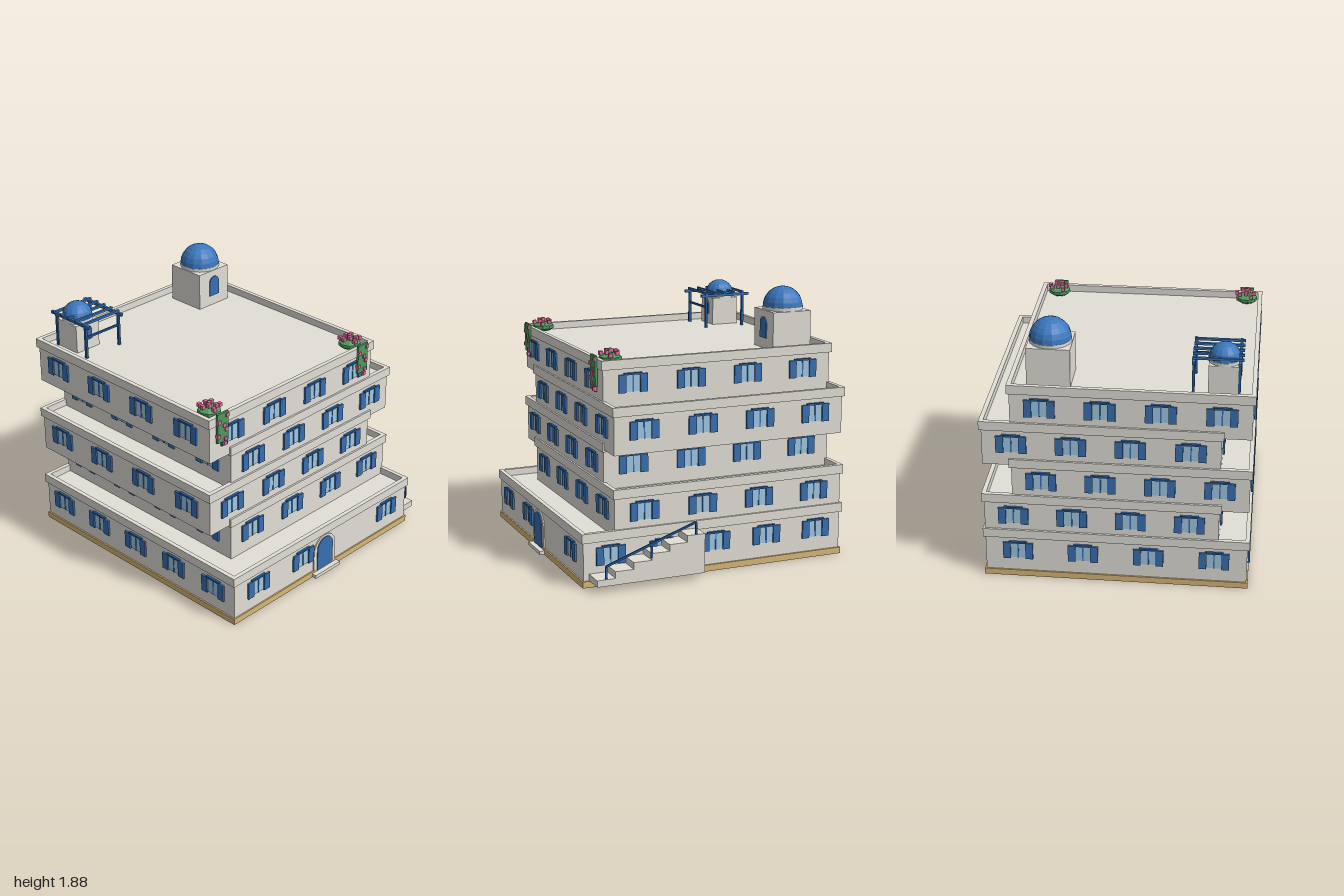
import * as THREE from 'three';

const mat = (name, color, extra = {}) => Object.assign(new THREE.MeshStandardMaterial({ color, ...extra }), { name });

export function createModel() {
  const root = new THREE.Group();
  root.name = 'terracedBuilding';
  const wall = mat('whitewash', 0xe2dfd7);
  const sand = mat('sand', 0xd8b878);
  const blue = mat('shutterBlue', 0x3870b2);
  const domeBlue = mat('domeBlue', 0x3a78be, { flatShading: true });
  const trim = mat('trimBlue', 0x265a98);
  const glass = mat('glass', 0xa2c8e2);
  const leaf = mat('leafGreen', 0x4f9a5e, { flatShading: true });
  const pink = mat('blossomPink', 0xe2719c);

  const add = (parent, name, geo, material, x = 0, y = 0, z = 0) => {
    const m = new THREE.Mesh(geo, material);
    m.name = name;
    m.position.set(x, y, z);
    parent.add(m);
    return m;
  };
  const group = (parent, name, x = 0, y = 0, z = 0) => {
    const g = new THREE.Group();
    g.name = name;
    g.position.set(x, y, z);
    parent.add(g);
    return g;
  };
  // Box given by its minimum and maximum corners
  const span = (parent, name, material, x0, x1, y0, y1, z0, z1) =>
    add(parent, name, new THREE.BoxGeometry(x1 - x0, y1 - y0, z1 - z0), material,
      (x0 + x1) / 2, (y0 + y1) / 2, (z0 + z1) / 2);
  // Upright panel with a round top, standing on y = 0
  const arch = (w, h, depth) => {
    const s = new THREE.Shape(), r = w / 2;
    s.moveTo(-r, 0);
    s.lineTo(r, 0);
    s.lineTo(r, h - r);
    s.absarc(0, h - r, r, 0, Math.PI, false);
    s.lineTo(-r, 0);
    return new THREE.ExtrudeGeometry(s, { depth, bevelEnabled: false, curveSegments: 10 });
  };

  // Window with open shutters, facing +z
  const shutterGeo = new THREE.BoxGeometry(0.053, 0.125, 0.014);
  const paneGeo = new THREE.BoxGeometry(0.11, 0.122, 0.008);
  const barGeo = new THREE.BoxGeometry(0.009, 0.122, 0.012);
  const lintelGeo = new THREE.BoxGeometry(0.128, 0.014, 0.018);
  const addWindow = (x, y, z, yaw) => {
    const g = group(root, 'window', x, y, z);
    g.rotation.y = yaw;
    add(g, 'pane', paneGeo, glass, 0, 0, 0.003);
    add(g, 'mullion', barGeo, blue, 0, 0, 0.005);
    add(g, 'lintel', lintelGeo, trim, 0, 0.062, 0.008);
    for (const s of [-1, 1]) add(g, 'shutter', shutterGeo, blue, s * 0.078, -0.003, 0.011);
  };

  // Storeys, alternately shifted left and right, each with a parapet
  span(root, 'basePlinth', sand, -0.99, 0.845, 0, 0.045, -0.99, 0.965);
  const back = -0.98;
  const floors = [
    [-0.98, 0.832, 0.955, 5], [-0.78, 0.832, 0.73, 4], [-0.98, 0.635, 0.73, 4],
    [-0.78, 0.832, 0.73, 4], [-0.98, 0.635, 0.73, 4],
  ];
  const rect = (path, x0, x1, z0, z1) => {
    path.moveTo(x0, -z1);
    path.lineTo(x1, -z1);
    path.lineTo(x1, -z0);
    path.lineTo(x0, -z0);
    path.closePath();
    return path;
  };
  floors.forEach(([x0, x1, front, sideCount], i) => {
    const y0 = 0.045 + i * 0.279, y1 = y0 + 0.279;
    span(root, 'storey', wall, x0, x1, y0, y1, back, front);
    const ring = rect(new THREE.Shape(), x0 - 0.015, x1 + 0.015, back - 0.015, front + 0.013);
    ring.holes.push(rect(new THREE.Path(), x0 + 0.016, x1 - 0.016, back + 0.016, front - 0.018));
    const parapet = add(root, 'parapet',
      new THREE.ExtrudeGeometry(ring, { depth: 0.065, bevelEnabled: false }), wall, 0, y1 - 0.015, 0);
    parapet.rotation.x = -Math.PI / 2;
    const wy = y0 + 0.165;
    for (let k = 0; k < 4; k++) {
      const x = x0 + (x1 - x0) * (k + 0.5) / 4;
      if (!(i === 0 && k === 2) || false) addWindow(x, wy, front, 0);
      addWindow(x, wy, back, Math.PI);
    }
    for (let k = 0; k < sideCount; k++) {
      const z = back + (front - back) * (k + 0.5) / sideCount;
      addWindow(x1, wy, z, Math.PI / 2);
      addWindow(x0, wy, z, -Math.PI / 2);
    }
  });

  // Arched entrance
  const entrance = group(root, 'entrance', -0.073, 0, 0.95);
  add(entrance, 'doorSurround', arch(0.222, 0.262, 0.014), wall, 0, 0.038, 0);
  add(entrance, 'door', arch(0.16, 0.245, 0.008), blue, 0, 0.038, 0.012);
  span(entrance, 'doorStep', wall, -0.128, 0.128, 0.004, 0.03, 0, 0.05);

  // Outside stair with handrail
  const stair = group(root, 'outsideStair');
  for (let i = 0; i < 6; i++) {
    span(stair, 'stairStep', wall, 0.83, 0.985, 0.045, 0.091 + i * 0.0463,
      0.915 - (i + 1) * 0.13, 0.915 - i * 0.13);
  }
  for (const [z, y0, y1] of [[0.85, 0.09, 0.18], [0.525, 0.2, 0.295], [0.2, 0.32, 0.41]]) {
    span(stair, 'railPost', trim, 0.974, 0.986, y0, y1, z - 0.006, z + 0.006);
  }
  const rail = add(stair, 'handrail', new THREE.BoxGeometry(0.014, 0.014, Math.hypot(0.65, 0.23)), trim, 0.98, 0.295, 0.525);
  rail.rotation.x = Math.atan2(0.23, 0.65);

  // Domed roof houses
  const roofY = 1.44;
  const domedHouse = (x, z, w, top, r, doorW, doorH) => {
    const g = group(root, 'domedHouse', x, 0, z);
    span(g, 'houseWalls', wall, -w / 2, w / 2, roofY, top, -w / 2, w / 2);
    add(g, 'drum', new THREE.CylinderGeometry(r, r, 0.024, 16), wall, 0, top + 0.012, 0);
    add(g, 'dome', new THREE.SphereGeometry(r, 14, 6, 0, Math.PI * 2, 0, Math.PI / 2), domeBlue, 0, top + 0.02, 0);
    add(g, 'houseDoor', arch(doorW, doorH, 0.008), blue, 0, 1.515, w / 2);
  };
  domedHouse(0.383, -0.737, 0.295, 1.712, 0.144, 0.094, 0.15);
  domedHouse(-0.777, -0.785, 0.205, 1.645, 0.108, 0.066, 0.105);

  // Pergola
  const pergola = group(root, 'pergola');
  for (const x of [-0.88, -0.578]) {
    for (const z of [-0.885, -0.58]) {
      span(pergola, 'pergolaPost', trim, x - 0.009, x + 0.009, roofY, 1.685, z - 0.009, z + 0.009);
    }
    span(pergola, 'pergolaBeam', blue, x - 0.01, x + 0.01, 1.672, 1.692, -0.937, -0.537);
  }
  for (let i = 0; i < 5; i++) {
    const z = -0.885 + i * 0.075;
    span(pergola, 'pergolaSlat', blue, -0.905, -0.567, 1.69, 1.706, z - 0.009, z + 0.009);
  }
  span(pergola, 'pergolaRail', trim, -0.88, -0.578, 1.588, 1.602, -0.587, -0.573);

  // Flowering bushes trailing over the front parapet
  const bloomGeo = new THREE.BoxGeometry(0.026, 0.026, 0.026);
  for (const x of [-0.88, 0.515]) {
    const g = group(root, 'floweringBush', x, 0, 0.63);
    const bush = add(g, 'bush', new THREE.SphereGeometry(0.083, 9, 5), leaf, 0, 1.482, 0);
    bush.scale.y = 0.45;
    span(g, 'trailingLeaves', leaf, -0.05, 0.05, 1.3, 1.512, 0.112, 0.127);
    for (let i = 0; i < 9; i++) {
      const a = i * 2.4, r = 0.026 * Math.sqrt(i);
      add(g, 'blossom', bloomGeo, pink, r * Math.cos(a), 1.535 - 0.003 * i, r * Math.sin(a));
    }
    for (let i = 0; i < 7; i++) {
      add(g, 'blossom', bloomGeo, pink, 0.042 * Math.sin(i * 2.2 + 0.4), 1.283 + i * 0.034, 0.122);
    }
  }
  return root;
}
